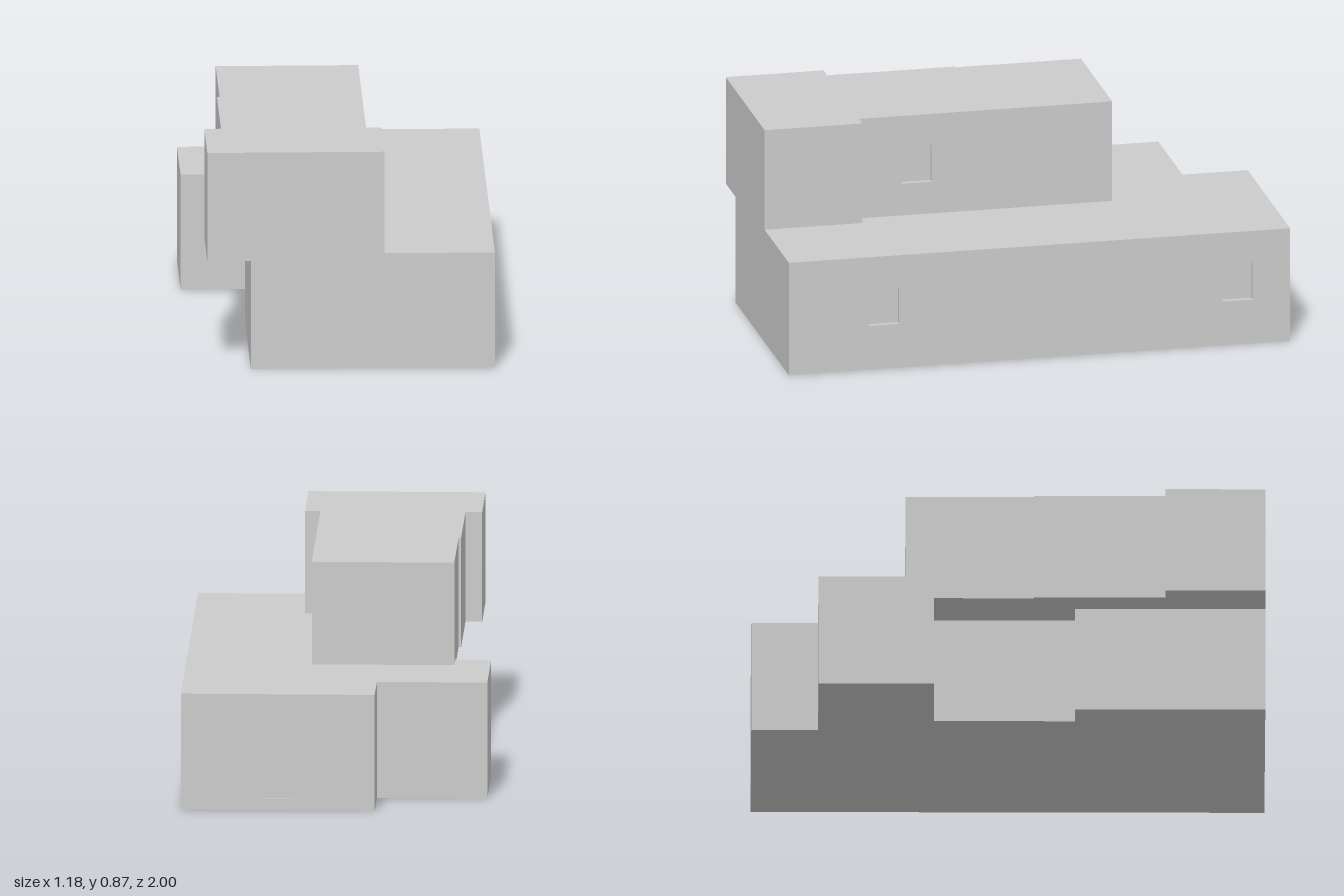
import * as THREE from 'three';
import { mergeGeometries } from 'three/addons/utils/BufferGeometryUtils.js';

const material = new THREE.MeshStandardMaterial({ color: 0xcccccc });

// Inside-out box without its outer side, set behind the wall plane
function recess({ s, y, w, h, depth }) {
  const box = new THREE.BoxGeometry(w, h, depth);
  box.setIndex(Array.from(box.index.array).slice(0, 30));
  box.clearGroups();
  box.scale(-1, -1, -1);
  return box.translate(s + w / 2, y + h / 2, -depth / 2);
}

// Flat wall from a to b (x, z), with openings measured along it from a
function wall(a, b, y0, y1, openings) {
  const run = new THREE.Vector3(b[0] - a[0], 0, b[1] - a[1]);
  const length = run.length();
  run.normalize();
  const up = new THREE.Vector3(0, 1, 0);
  const rect = (P, x, y, w, h) => new P([[x, y], [x + w, y], [x + w, y + h], [x, y + h]]
    .map(p => new THREE.Vector2(...p)));
  const shape = rect(THREE.Shape, 0, y0, length, y1 - y0);
  for (const o of openings) shape.holes.push(rect(THREE.Path, o.s, o.y, o.w, o.h));
  const place = new THREE.Matrix4()
    .makeBasis(run, up, run.clone().cross(up))
    .setPosition(a[0], 0, a[1]);
  const parts = [new THREE.ShapeGeometry(shape), ...openings.map(recess)];
  return parts.map(g => g.applyMatrix4(place));
}

// Closed storey; the footprint runs left to right along the front, then round the right side
function storey(name, footprint, y0, y1, openings) {
  const cap = (sign, y) => new THREE.ShapeGeometry(
    new THREE.Shape(footprint.map(([x, z]) => new THREE.Vector2(x, -sign * z))))
    .rotateX(-sign * Math.PI / 2).translate(0, y, 0);
  const parts = [cap(1, y1), cap(-1, y0)];
  footprint.forEach((a, i) => {
    const b = footprint[(i + 1) % footprint.length];
    parts.push(...wall(a, b, y0, y1, openings.filter(o => o.edge === i)));
  });
  const mesh = new THREE.Mesh(mergeGeometries(parts), material);
  mesh.name = name;
  return mesh;
}

export function createModel() {
  const model = new THREE.Group();
  model.name = 'house';
  const windowSize = { w: 0.12, h: 0.15, depth: 0.02 };

  // Ground floor: two side windows and a back door
  model.add(storey('groundFloor', [
    [-0.36, 1], [0.59, 1], [0.59, -1], [-0.165, -1], [-0.165, -0.74],
    [-0.595, -0.74], [-0.595, -0.29], [-0.25, -0.29], [-0.25, 0.26], [-0.36, 0.26],
  ], 0, 0.46, [
    { edge: 1, s: 0.32, y: 0.18, ...windowSize },
    { edge: 1, s: 1.73, y: 0.18, ...windowSize },
    { edge: 2, s: 0.31, y: 0.045, w: 0.13, h: 0.285, depth: 0.01 },
  ]));

  // Upper floor: overhangs the left side, one window looking over the lower roof
  model.add(storey('upperFloor', [
    [-0.53, 1], [0.16, 1], [0.16, 0.61], [0.1, 0.61], [0.1, -0.4],
    [-0.455, -0.4], [-0.455, 0.1], [-0.465, 0.1], [-0.465, 0.61], [-0.53, 0.61],
  ], 0.432, 0.867, [
    { edge: 3, s: 0.17, y: 0.59, ...windowSize },
  ]));

  return model;
}
